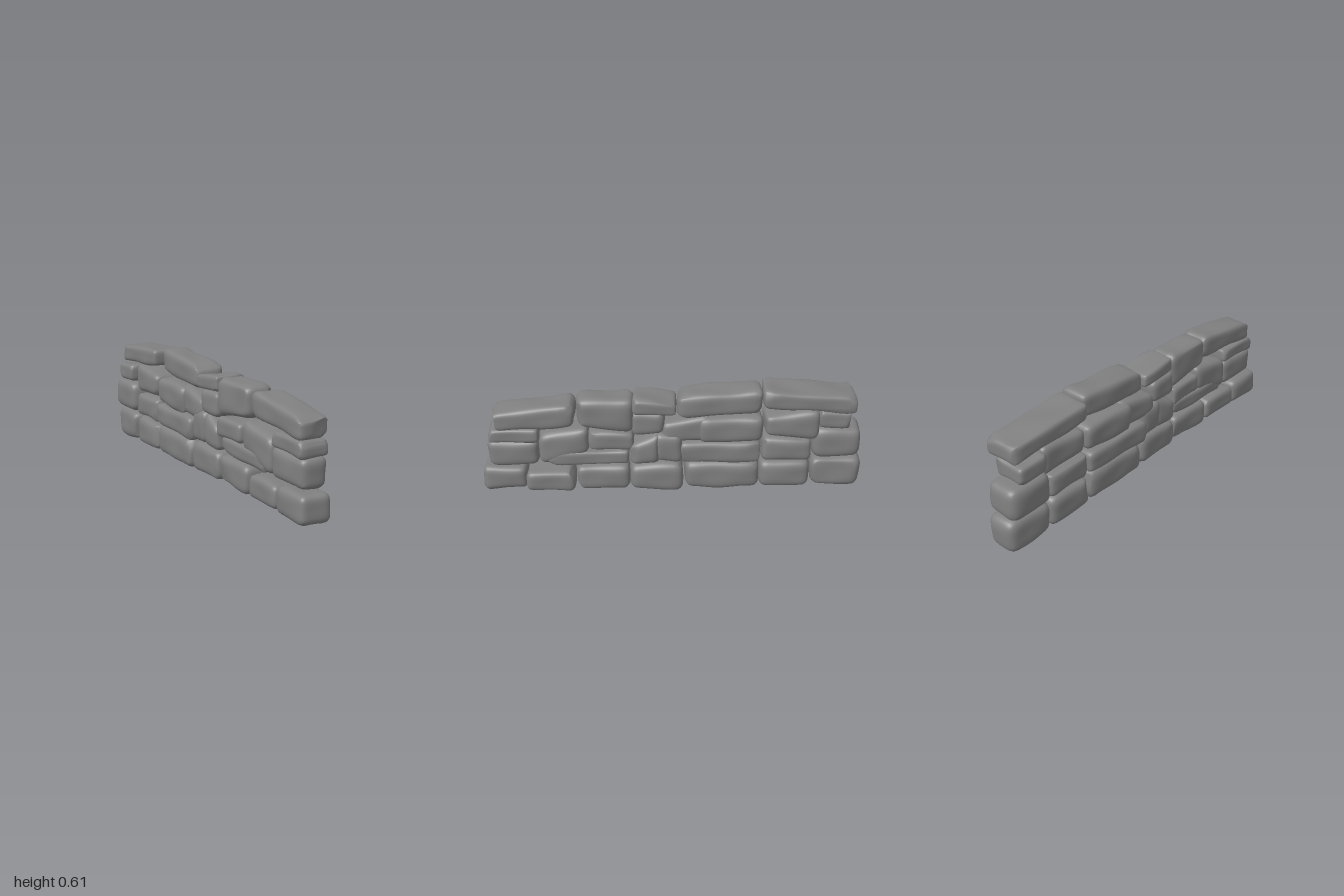
import * as THREE from 'three';
import { mergeVertices } from 'three/addons/utils/BufferGeometryUtils.js';

// Each stone: front z, back z, top y (front, back), bottom y (front, back), right x, left x
const COURSES = {
  capStone: [
    [0.93, 0.50, 0.52, 0.57, 0.41, 0.43, -0.045, 0.125],
    [0.495, 0.195, 0.575, 0.58, 0.42, 0.37, -0.07, 0.10],
    [0.21, -0.02, 0.585, 0.55, 0.49, 0.48, -0.075, 0.10],
    [-0.02, -0.455, 0.595, 0.62, 0.46, 0.485, -0.07, 0.10],
    [-0.46, -0.94, 0.61, 0.575, 0.51, 0.47, -0.11, 0.09],
  ],
  upperStone: [
    [0.95, 0.69, 0.42, 0.42, 0.335, 0.335, -0.05, 0.11],
    [0.70, 0.43, 0.37, 0.42, 0.19, 0.26, -0.06, 0.10],
    [0.44, 0.20, 0.39, 0.38, 0.28, 0.27, -0.075, 0.09],
    [0.22, 0.04, 0.50, 0.49, 0.36, 0.36, -0.08, 0.085],
    [0.06, -0.20, 0.43, 0.47, 0.31, 0.31, -0.08, 0.08],
    [-0.13, -0.465, 0.46, 0.46, 0.30, 0.31, -0.10, 0.09],
    [-0.47, -0.76, 0.46, 0.49, 0.34, 0.31, -0.10, 0.08],
    [-0.75, -0.93, 0.48, 0.47, 0.37, 0.37, -0.135, 0.055],
  ],
  middleStone: [
    [0.96, 0.69, 0.345, 0.345, 0.19, 0.19, -0.05, 0.10],
    [0.66, 0.23, 0.28, 0.28, 0.19, 0.195, -0.06, 0.10],
    [0.23, 0.06, 0.31, 0.39, 0.19, 0.19, -0.08, 0.11],
    [0.10, -0.05, 0.38, 0.36, 0.20, 0.19, -0.09, 0.10],
    [-0.03, -0.46, 0.32, 0.31, 0.185, 0.185, -0.11, 0.09],
    [-0.46, -0.73, 0.33, 0.32, 0.185, 0.185, -0.11, 0.075],
    [-0.73, -0.99, 0.37, 0.37, 0.19, 0.19, -0.135, 0.06],
  ],
  baseStone: [
    [1.0, 0.765, 0.19, 0.18, 0.04, 0.04, -0.07, 0.10],
    [0.77, 0.515, 0.17, 0.17, 0.05, 0.04, -0.07, 0.13],
    [0.51, 0.225, 0.19, 0.19, 0.04, 0.04, -0.075, 0.11],
    [0.23, -0.055, 0.19, 0.20, 0.035, 0.02, -0.085, 0.11],
    [-0.06, -0.46, 0.19, 0.19, 0.02, 0.02, -0.10, 0.085],
    [-0.455, -0.73, 0.18, 0.18, 0.02, 0.01, -0.11, 0.07],
    [-0.73, -1.0, 0.19, 0.19, 0.02, 0.0, -0.12, 0.06],
  ],
};

function seeded(seed) {
  let s = seed * 7919 + 13;
  return () => (s = (s * 16807) % 2147483647) / 2147483647;
}

// Rounded block with chiselled corners and shallow dents, fitted to a sloping outline
function stoneGeometry([zF, zB, tF, tB, bF, bB, x0, x1], seed) {
  const rand = seeded(seed);
  for (let i = 0; i < 5; i++) rand();
  const half = new THREE.Vector3(x1 - x0, (tF + tB - bF - bB) / 2, zF - zB).multiplyScalar(0.5);
  const radius = Math.min(half.x, half.y, half.z) * 0.55;
  const inner = half.clone().subScalar(radius);

  const box = new THREE.BoxGeometry(2, 2, 2, 12, 12, 14);
  box.deleteAttribute('normal');
  box.deleteAttribute('uv');
  const geo = mergeVertices(box);
  const pos = geo.attributes.position;

  // Planes that shave random corners and edges
  const cuts = [];
  for (let i = 0; i < 9; i++) {
    const n = new THREE.Vector3(rand() - 0.5, rand() - 0.5, rand() - 0.5).normalize();
    const reach = Math.abs(n.x) * half.x + Math.abs(n.y) * half.y + Math.abs(n.z) * half.z;
    cuts.push({ n, d: reach * (0.8 + 0.1 * rand()) });
  }
  const ph = [rand(), rand(), rand()].map((v) => v * 6.28);

  const p = new THREE.Vector3(), core = new THREE.Vector3(), dir = new THREE.Vector3();
  const ease = (t) => Math.sin(t * Math.PI / 2);
  for (let i = 0; i < pos.count; i++) {
    p.fromBufferAttribute(pos, i);
    p.set(ease(p.x), ease(p.y), ease(p.z)).multiply(half);
    core.copy(p).clamp(inner.clone().negate(), inner);
    dir.copy(p).sub(core).normalize();
    p.copy(core).addScaledVector(dir, radius);
    for (const { n, d } of cuts) {
      const over = p.dot(n) - d;
      if (over > 0) p.addScaledVector(n, -over * 0.8);
    }
    const dent = Math.sin(p.z * 24 + ph[0]) * Math.sin(p.y * 30 + ph[1]) + Math.sin(p.x * 28 + p.z * 15 + ph[2]);
    p.addScaledVector(dir, -0.003 * (1 + dent));
    // Map the block into the sloping outline
    const u = (p.z / half.z + 1) / 2, v = (p.y / half.y + 1) / 2;
    const top = tB + (tF - tB) * u, bottom = bB + (bF - bB) * u;
    pos.setXYZ(i, (x0 + x1) / 2 + p.x, bottom + (top - bottom) * v, zB + (zF - zB) * u);
  }
  geo.computeVertexNormals();
  return geo;
}

export function createModel() {
  const wall = new THREE.Group();
  wall.name = 'stoneWall';
  const stone = new THREE.MeshStandardMaterial({ color: 0x808080 });
  stone.name = 'grey stone';

  let seed = 1;
  for (const [name, stones] of Object.entries(COURSES)) {
    const course = new THREE.Group();
    course.name = name + 'Course';
    stones.forEach((spec, i) => {
      const mesh = new THREE.Mesh(stoneGeometry(spec, seed++), stone);
      mesh.name = name + (i + 1);
      course.add(mesh);
    });
    wall.add(course);
  }
  return wall;
}
